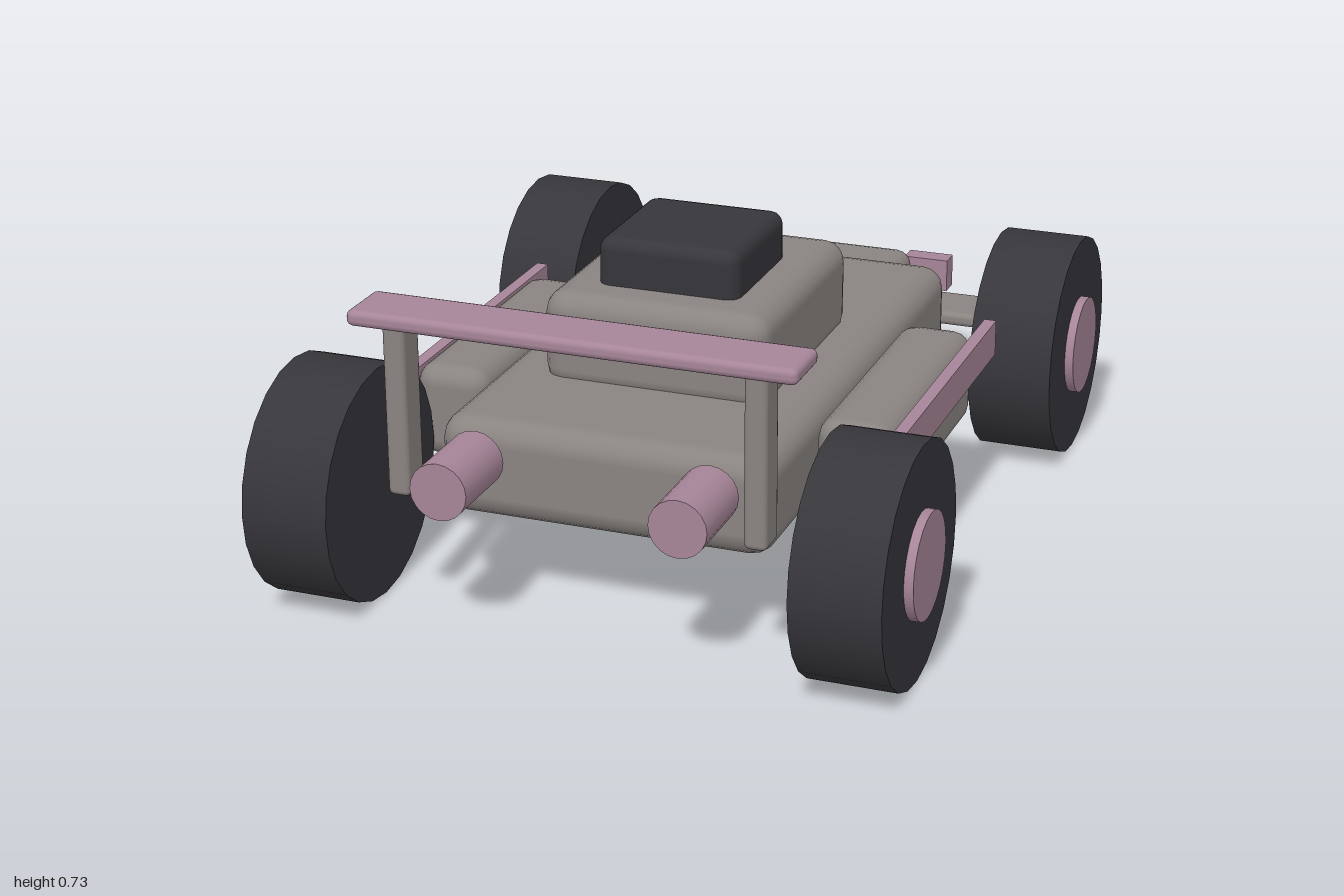
import * as THREE from 'three';
import { RoundedBoxGeometry } from 'three/addons/geometries/RoundedBoxGeometry.js';

const material = (color) => new THREE.MeshStandardMaterial({ color });

export function createModel() {
  const car = new THREE.Group();
  car.name = 'buggy';
  const grey = material(0x8a8481);
  const pink = material(0xa68598);
  const dark = material(0x36363b);

  const add = (name, geometry, mat, x, y, z) => {
    const mesh = new THREE.Mesh(geometry, mat);
    mesh.name = name;
    mesh.position.set(x, y, z);
    car.add(mesh);
    return mesh;
  };

  // Box given by its limits on each axis; a radius rounds the edges
  const box = (name, mat, [x0, x1], [y0, y1], [z0, z1], radius = 0) => {
    const size = [x1 - x0, y1 - y0, z1 - z0];
    const geometry = radius
      ? new RoundedBoxGeometry(...size, 2, radius)
      : new THREE.BoxGeometry(...size);
    return add(name, geometry, mat, (x0 + x1) / 2, (y0 + y1) / 2, (z0 + z1) / 2);
  };

  // Hull, cabin, roof block and tail
  box('body', grey, [-0.373, 0.373], [0.203, 0.427], [-0.565, 0.733], 0.055);
  box('cabin', grey, [-0.258, 0.258], [0.395, 0.618], [-0.14, 0.44], 0.05);
  box('roofBlock', dark, [-0.162, 0.162], [0.57, 0.725], [0.025, 0.347], 0.03);
  box('tail', grey, [-0.193, 0.193], [0.193, 0.338], [-0.89, -0.5], 0.04);

  // Cross wings
  box('frontWing', pink, [-0.485, 0.485], [0.675, 0.71], [0.765, 0.903], 0.014);
  box('rearWing', grey, [-0.485, 0.485], [0.155, 0.19], [-1, -0.845], 0.014);

  // Cylinder lying along the x axis
  const disc = (radius, width) =>
    new THREE.CylinderGeometry(radius, radius, width, 24).rotateZ(Math.PI / 2);

  for (const [label, s] of [['left', 1], ['right', -1]]) {
    const span = (a, b) => (s > 0 ? [a, b] : [-b, -a]);

    // Side pod and rail
    box(`${label}SidePod`, grey, span(0.378, 0.55), [0.207, 0.423], [-0.172, 0.475], 0.045);
    box(`${label}SideRail`, pink, span(0.545, 0.573), [0.327, 0.41], [-0.267, 0.52]);

    // Wing post, headlight and tail light
    box(`${label}WingPost`, grey, span(0.367, 0.416), [0.302, 0.69], [0.802, 0.88], 0.012);
    const lamp = new THREE.CylinderGeometry(0.063, 0.063, 0.185, 20).rotateX(Math.PI / 2);
    add(`${label}Headlight`, lamp, pink, s * 0.26, 0.366, 0.872);
    box(`${label}TailLight`, pink, span(0.175, 0.286), [0.24, 0.32], [-0.916, -0.865]);

    // Wheels with hubs showing on the outside
    for (const [end, z] of [['Front', 0.74], ['Rear', -0.563]]) {
      add(`${label}${end}Wheel`, disc(0.26, 0.194), dark, s * 0.598, 0.26, z);
      add(`${label}${end}Hub`, disc(0.115, 0.05), pink, s * 0.69, 0.262, z);
    }
  }
  return car;
}
